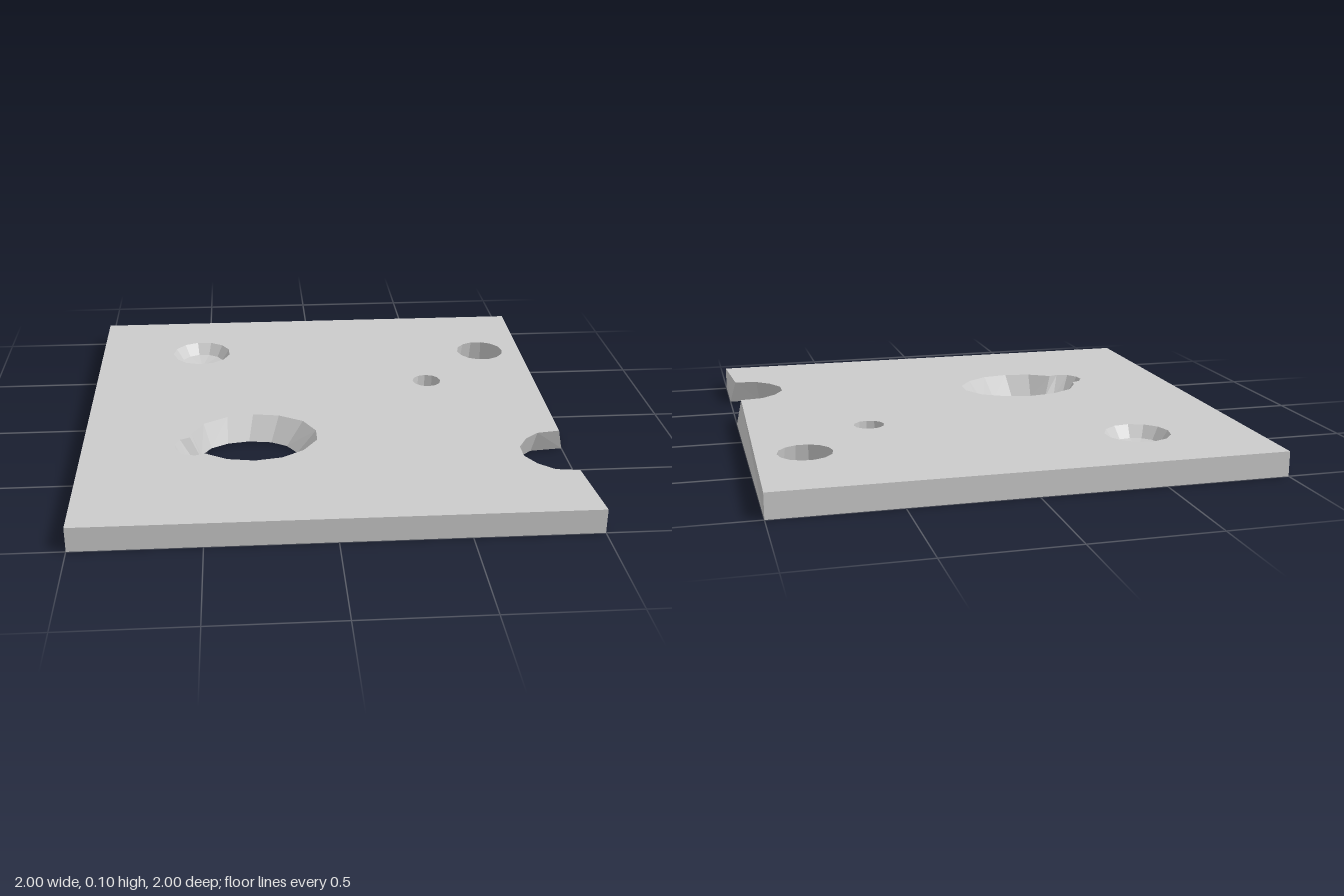
import * as THREE from 'three';

const THICKNESS = 0.1;
const material = new THREE.MeshStandardMaterial({ color: 0xcccccc, flatShading: true });
const points = (pairs) => pairs.map(([x, z]) => new THREE.Vector2(x, z));

// Regular polygon in the x-z plane
function ring(cx, cz, r, sides, turn = 0) {
  return Array.from({ length: sides }, (_, i) => {
    const a = turn + (i / sides) * Math.PI * 2;
    return new THREE.Vector2(cx + r * Math.cos(a), cz + r * Math.sin(a));
  });
}

function toMesh(name, positions) {
  const geometry = new THREE.BufferGeometry();
  geometry.setAttribute('position', new THREE.Float32BufferAttribute(positions, 3));
  geometry.computeVertexNormals();
  const mesh = new THREE.Mesh(geometry, material);
  mesh.name = name;
  return mesh;
}

// Flat face with holes, facing up or down
function face(name, outline, holes, y, up) {
  const all = [outline, ...holes].flat();
  const positions = [];
  for (const tri of THREE.ShapeUtils.triangulateShape(outline, holes)) {
    const p = tri.map((i) => all[i]);
    if ((THREE.ShapeUtils.area(p) > 0) === up) p.reverse();
    p.forEach((v) => positions.push(v.x, y, v.y));
  }
  return toMesh(name, positions);
}

// Band of facets joining an upper ring to a lower one
function wall(name, top, bottom, inward, yTop = THICKNESS, yBottom = 0) {
  const positions = [];
  top.forEach((p, i) => {
    const j = (i + 1) % top.length;
    const a = [p.x, yTop, p.y], b = [top[j].x, yTop, top[j].y];
    const c = [bottom[i].x, yBottom, bottom[i].y], d = [bottom[j].x, yBottom, bottom[j].y];
    const tris = inward ? [a, c, b, b, c, d] : [a, b, c, b, d, c];
    positions.push(...tris.flat());
  });
  return toMesh(name, positions);
}

export function createModel() {
  const group = new THREE.Group();
  group.name = 'plate';

  // Outline with the undercut notch in the right edge
  const notchTop = [[0.975, 0.335], [0.88, 0.35], [0.82, 0.4], [0.78, 0.47],
    [0.78, 0.55], [0.82, 0.62], [0.88, 0.672], [0.975, 0.687]];
  const notchBottom = notchTop.map(([x, z], i) => (i === 0 || i === 7)
    ? [1, i ? 0.725 : 0.303]
    : [0.955 + (x - 0.955) * 1.2, 0.51 + (z - 0.51) * 1.2]);
  const outline = (notch) => points([[-1, -1], [1, -1], ...notch, [1, 1], [-1, 1]]);
  const outerTop = outline(notchTop), outerBottom = outline(notchBottom);

  // Through holes as pairs of upper and lower rings
  const holes = [
    {
      name: 'lobedHole',
      top: points([[-0.3, 0.09], [-0.19, 0.11], [-0.09, 0.17], [-0.04, 0.265], [-0.04, 0.35],
        [-0.1, 0.44], [-0.19, 0.5], [-0.3, 0.52], [-0.41, 0.5], [-0.5, 0.445],
        [-0.54, 0.46], [-0.59, 0.445], [-0.62, 0.4], [-0.625, 0.355], [-0.605, 0.315],
        [-0.565, 0.295], [-0.56, 0.26], [-0.51, 0.17], [-0.41, 0.11]]),
      bottom: points([[-0.32, 0.15], [-0.225, 0.165], [-0.16, 0.205], [-0.12, 0.27], [-0.12, 0.345],
        [-0.16, 0.415], [-0.225, 0.46], [-0.32, 0.475], [-0.41, 0.46], [-0.47, 0.42],
        [-0.515, 0.425], [-0.55, 0.41], [-0.57, 0.38], [-0.57, 0.34], [-0.55, 0.315],
        [-0.52, 0.3], [-0.52, 0.265], [-0.48, 0.205], [-0.41, 0.165]]),
    },
    { name: 'roundHole', top: ring(0.8, -0.55, 0.108, 14), bottom: ring(0.8, -0.55, 0.125, 14) },
    { name: 'smallHole', top: ring(0.495, -0.215, 0.063, 12), bottom: ring(0.495, -0.215, 0.063, 12) },
  ];

  // Blind dish with a shallow conical floor
  const dishTop = ring(-0.532, -0.608, 0.134, 13, 0.2);
  const dishFloor = ring(-0.532, -0.608, 0.1, 13, 0.2);
  const dishCentre = dishFloor.map(() => new THREE.Vector2(-0.532, -0.608));

  group.add(
    face('topFace', outerTop, [...holes.map((h) => h.top), dishTop], THICKNESS, true),
    face('bottomFace', outerBottom, holes.map((h) => h.bottom), 0, false),
    wall('plateEdge', outerTop, outerBottom, false),
    ...holes.map((h) => wall(h.name, h.top, h.bottom, true)),
    wall('dishWall', dishTop, dishFloor, true, THICKNESS, 0.05),
    wall('dishFloor', dishFloor, dishCentre, true, 0.05, 0.03),
  );
  return group;
}
